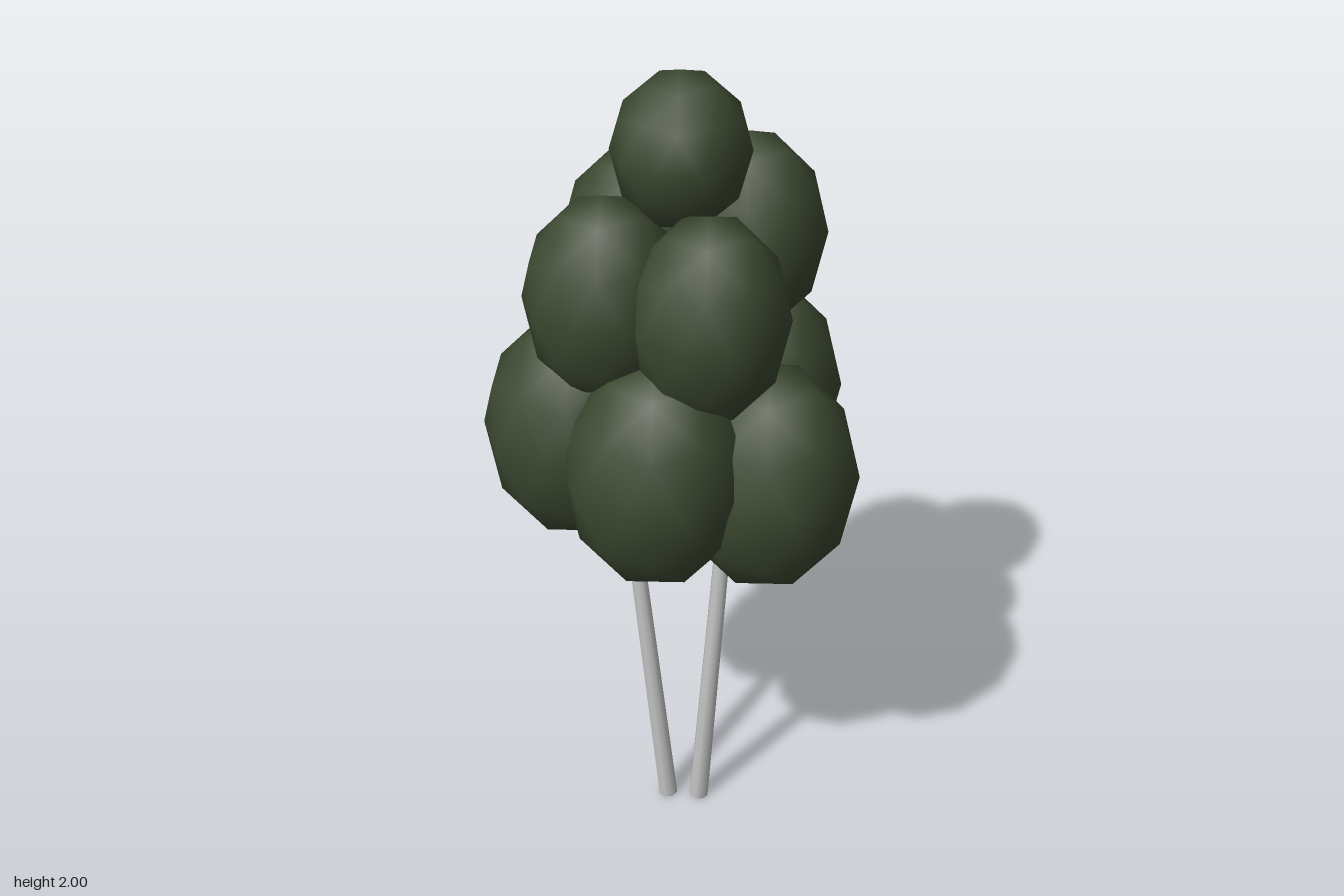
import * as THREE from 'three';
import { mergeVertices } from 'three/addons/utils/BufferGeometryUtils.js';

const leafGreen = new THREE.MeshStandardMaterial({ name: 'leafGreen', color: 0x3b4830 });
const barkGrey = new THREE.MeshStandardMaterial({ name: 'barkGrey', color: 0xc6c6c6 });

// Low-poly smooth ball with one pole straight up and an upper ring corner at +x
function clumpGeometry() {
  const g = new THREE.IcosahedronGeometry(1, 1);
  g.rotateX(-Math.atan((1 + Math.sqrt(5)) / 2));
  g.rotateY(Math.PI / 2);
  return g;
}

// Tapered stem between two points, shaded softly over its end caps
function stem(name, from, to) {
  const a = new THREE.Vector3(...from), b = new THREE.Vector3(...to);
  const dir = b.clone().sub(a);
  let g = new THREE.CylinderGeometry(0.018, 0.025, dir.length(), 8);
  g.deleteAttribute('uv');
  g.deleteAttribute('normal');
  g = mergeVertices(g);
  g.computeVertexNormals();
  const mesh = new THREE.Mesh(g, barkGrey);
  mesh.name = name;
  mesh.position.copy(a).add(b).multiplyScalar(0.5);
  mesh.quaternion.setFromUnitVectors(new THREE.Vector3(0, 1, 0), dir.normalize());
  return mesh;
}

export function createModel() {
  const tree = new THREE.Group();
  tree.name = 'tree';

  // Two leaning trunks
  tree.add(stem('leftTrunk', [0.036, 0.003, -0.01], [0.11, 1.1, -0.025]));
  tree.add(stem('rightTrunk', [-0.043, 0.003, 0.01], [-0.148, 1.1, 0.036]));

  // Leaf clumps: name, x, y, z, horizontal radius, vertical radius
  const clumps = [
    ['crownTop', -0.012, 1.823, -0.01, 0.155, 0.177],
    ['middleBackRight', -0.16, 1.53, -0.135, 0.183, 0.24],
    ['middleBackLeft', 0.09, 1.58, -0.17, 0.182, 0.24],
    ['middleFrontRight', -0.137, 1.52, 0.14, 0.18, 0.24],
    ['middleFrontLeft', 0.106, 1.51, 0.14, 0.18, 0.24],
    ['lowerBackRight', -0.18, 1.12, -0.185, 0.212, 0.28],
    ['lowerBackLeft', 0.095, 1.16, -0.22, 0.212, 0.28],
    ['lowerRight', -0.226, 1.17, 0.115, 0.212, 0.28],
    ['lowerLeft', 0.225, 1.1, 0.075, 0.212, 0.28],
    ['lowerFront', 0.012, 1.15, 0.218, 0.212, 0.28],
  ];
  const foliage = new THREE.Group();
  foliage.name = 'foliage';
  const geometry = clumpGeometry();
  for (const [name, x, y, z, r, h] of clumps) {
    const clump = new THREE.Mesh(geometry, leafGreen);
    clump.name = name;
    clump.position.set(x, y, z);
    clump.scale.set(r, h, r);
    foliage.add(clump);
  }
  tree.add(foliage);
  return tree;
}
